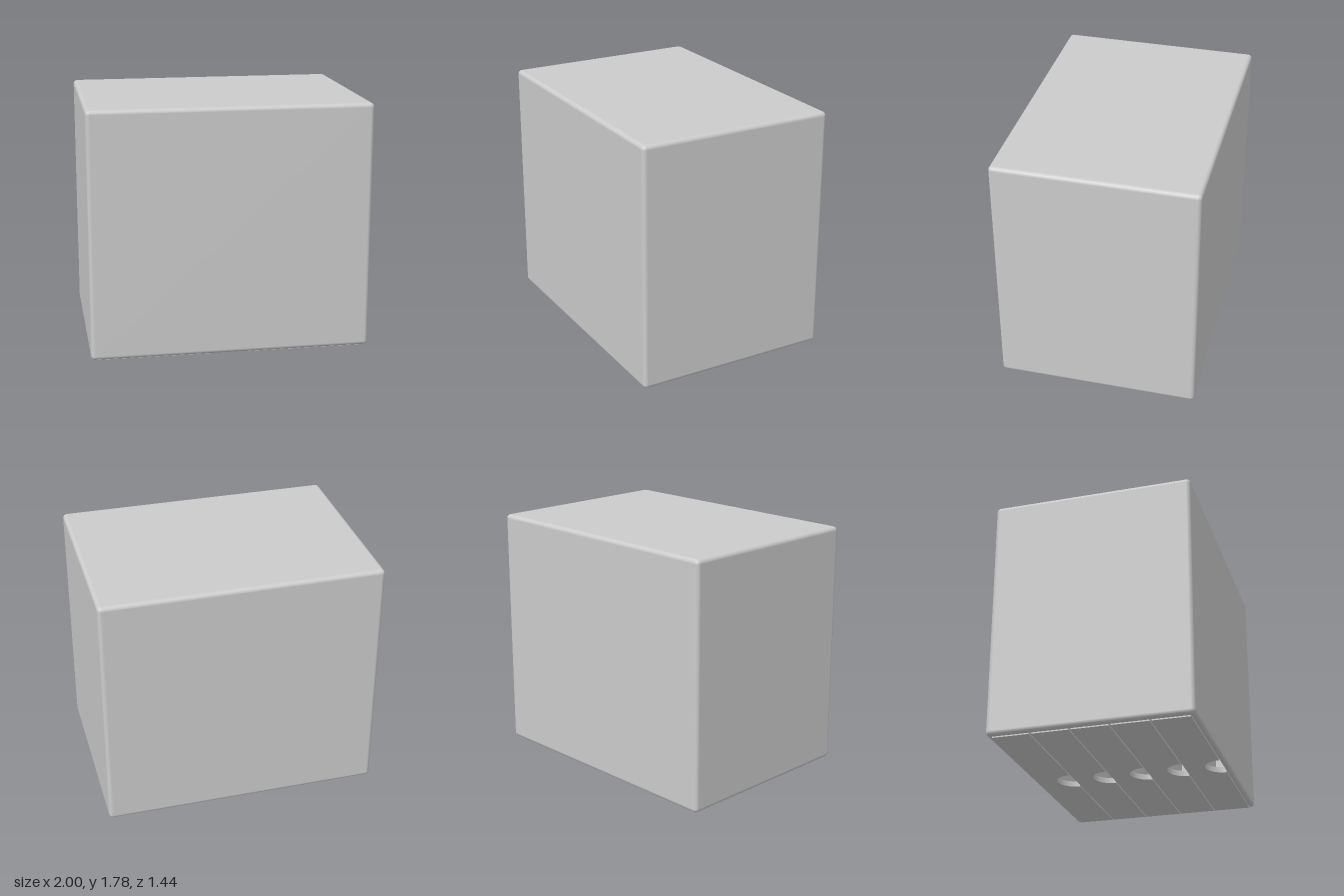
import * as THREE from 'three';
import { RoundedBoxGeometry } from 'three/addons/geometries/RoundedBoxGeometry.js';
import { toCreasedNormals } from 'three/addons/utils/BufferGeometryUtils.js';

const W = 2, H = 1.78, D = 1.44, EDGE = 0.03;
const LIFT = 0.007;            // drawer fronts stand proud of the carcass by this much
const COUNT = 5, PITCH = 0.276;
const SLOT_W = 1.93, SLOT_H = 0.268;
const FRONT_W = 1.92, FRONT_H = 0.262, FRONT_T = 0.04;
const PULL_R = 0.133, DEPTH = 1.6, WALL = 0.015;

const material = new THREE.MeshStandardMaterial({ color: 0xcccccc });
const liningMaterial = new THREE.MeshStandardMaterial({ color: 0xcccccc, side: THREE.BackSide });

function add(parent, name, geometry, x = 0, y = 0, z = 0, mat = material) {
  const mesh = new THREE.Mesh(geometry, mat);
  mesh.name = name;
  mesh.position.set(x, y, z);
  parent.add(mesh);
  return mesh;
}

// Removes the flat underside of a box-like geometry
function openBottom(geometry) {
  const g = geometry.index ? geometry.toNonIndexed() : geometry;
  const p = g.attributes.position, n = g.attributes.normal;
  g.computeBoundingBox();
  const limit = g.boundingBox.min.y + 1e-4;
  const pos = [], nor = [];
  for (let i = 0; i < p.count; i += 3) {
    if ([0, 1, 2].every((k) => p.getY(i + k) < limit)) continue;
    for (let k = i; k < i + 3; k++) {
      pos.push(p.getX(k), p.getY(k), p.getZ(k));
      nor.push(n.getX(k), n.getY(k), n.getZ(k));
    }
  }
  const out = new THREE.BufferGeometry();
  out.setAttribute('position', new THREE.Float32BufferAttribute(pos, 3));
  out.setAttribute('normal', new THREE.Float32BufferAttribute(nor, 3));
  return out;
}

function rectangle(path, w, h, cy = 0) {
  path.moveTo(-w / 2, cy - h / 2);
  path.lineTo(w / 2, cy - h / 2);
  path.lineTo(w / 2, cy + h / 2);
  path.lineTo(-w / 2, cy + h / 2);
  path.closePath();
  return path;
}

// Drawer front with a half-round finger pull cut into its +z edge
function frontGeometry() {
  const s = new THREE.Shape();
  const w = FRONT_W / 2, h = FRONT_H / 2;
  s.moveTo(-w, -h);
  s.lineTo(w, -h);
  s.lineTo(w, h);
  s.lineTo(PULL_R, h);
  s.absarc(0, h, PULL_R * 0.95, 0, -Math.PI, true);
  s.lineTo(-w, h);
  s.closePath();
  const g = new THREE.ExtrudeGeometry(s, { depth: FRONT_T, bevelEnabled: false, curveSegments: 32 });
  return toCreasedNormals(g.rotateX(Math.PI / 2), 0.6);
}

// Front plus an open tray behind it
function makeDrawer() {
  const drawer = new THREE.Group();
  const trayW = FRONT_W - 0.02, trayH = FRONT_H * 0.8;
  const floorZ = -FRONT_H / 2 + WALL / 2, midZ = -FRONT_H / 2 + trayH / 2;
  const midY = FRONT_T + DEPTH / 2;
  add(drawer, 'drawerFront', frontGeometry(), 0, FRONT_T, 0);
  add(drawer, 'drawerFloor', new THREE.BoxGeometry(trayW, DEPTH, WALL), 0, midY, floorZ);
  add(drawer, 'drawerBack', new THREE.BoxGeometry(trayW, WALL, trayH), 0, FRONT_T + DEPTH, midZ);
  for (const side of [-1, 1]) {
    add(drawer, side > 0 ? 'drawerSideLeft' : 'drawerSideRight',
      new THREE.BoxGeometry(WALL, DEPTH, trayH), side * (trayW - WALL) / 2, midY, midZ);
  }
  return drawer;
}

export function createModel() {
  const model = new THREE.Group();
  model.name = 'drawerCabinet';

  // Outer carcass with softly rounded edges
  const bodyH = H - LIFT;
  add(model, 'carcass', openBottom(new RoundedBoxGeometry(W, bodyH, D, 5, EDGE)), 0, LIFT + bodyH / 2, 0);

  // Opening frame: rim and dividers around the drawer slots
  const frame = rectangle(new THREE.Shape(), W - 2 * EDGE, D - 2 * EDGE);
  const liningH = H - LIFT - 0.05;
  for (let i = 0; i < COUNT; i++) {
    const z = (i - (COUNT - 1) / 2) * PITCH;
    frame.holes.push(rectangle(new THREE.Path(), SLOT_W, SLOT_H, z));
    add(model, 'slotLining', openBottom(new THREE.BoxGeometry(SLOT_W, liningH, SLOT_H)),
      0, LIFT + liningH / 2, z, liningMaterial);
    const drawer = makeDrawer();
    drawer.name = 'drawer' + (i + 1);
    drawer.position.z = z;
    model.add(drawer);
  }
  add(model, 'openingFrame', new THREE.ShapeGeometry(frame).rotateX(Math.PI / 2), 0, LIFT, 0);

  return model;
}
